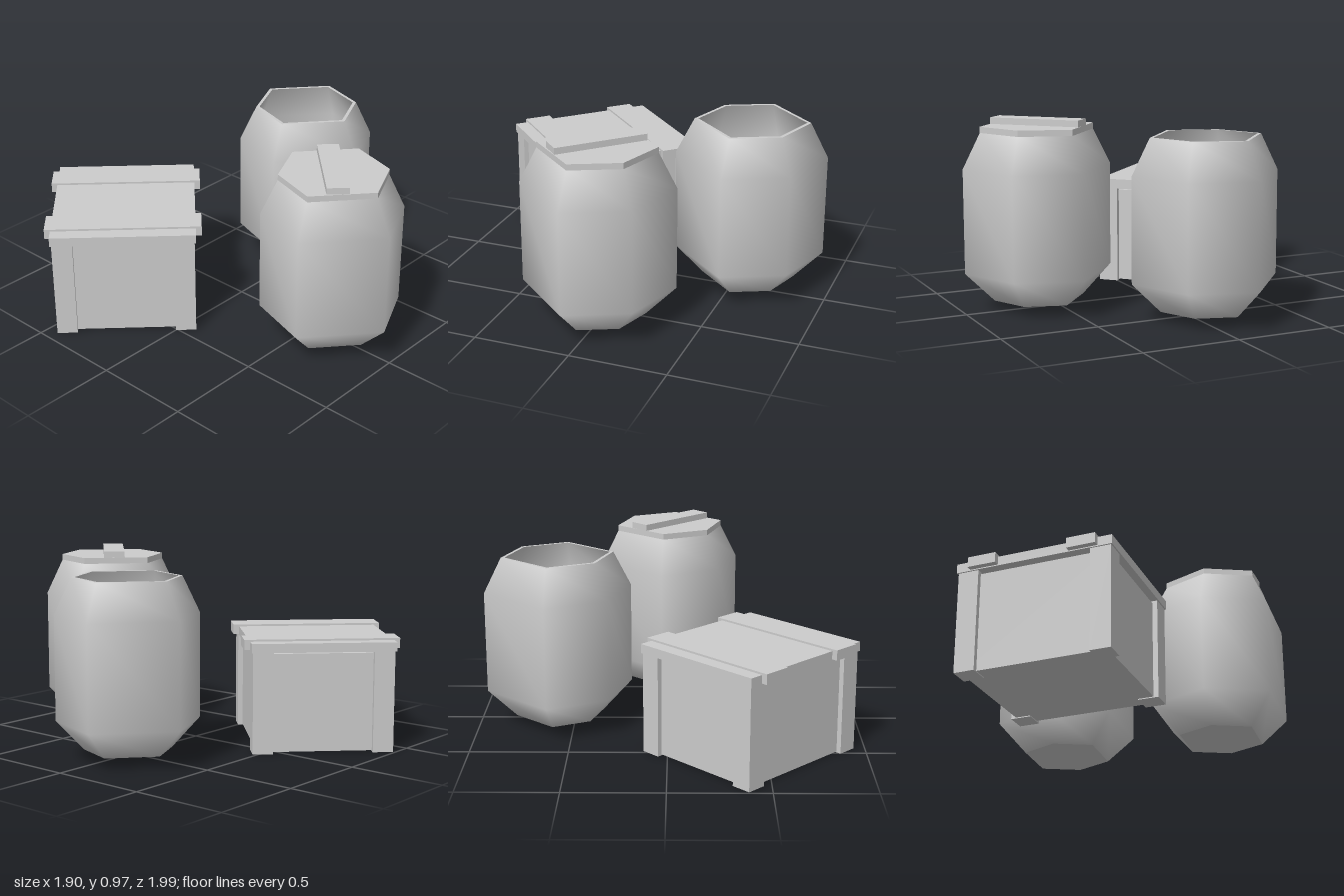
import * as THREE from 'three';

const grey = new THREE.MeshStandardMaterial({ color: 0xcccccc });
grey.name = 'plain grey';

// Half of the six-sided barrel outline (x, z); the other half is its point reflection
const half = [[0.042, -0.382], [0.375, -0.093], [0.27, 0.238]];
const outline = [...half, ...half.map(([x, z]) => [-x, -z])];

function add(parent, name, geometry) {
  const mesh = new THREE.Mesh(geometry, grey);
  mesh.name = name;
  parent.add(mesh);
  return mesh;
}

function box(parent, name, size, position) {
  const mesh = add(parent, name, new THREE.BoxGeometry(...size));
  mesh.position.set(...position);
  return mesh;
}

// Skins the barrel outline through rings given as [scale, y]
function loft(rings, flat = false) {
  const n = outline.length, positions = [], index = [];
  rings.forEach(([s, y]) => outline.forEach(([x, z]) => positions.push(x * s, y, z * s)));
  for (let r = 0; r < rings.length - 1; r++) {
    for (let i = 0; i < n; i++) {
      const j = (i + 1) % n, a = r * n + i, b = r * n + j;
      if (rings[r + 1][0] > 0) index.push(a, a + n, b + n);
      if (rings[r][0] > 0) index.push(a, b + n, b);
    }
  }
  let geometry = new THREE.BufferGeometry();
  geometry.setAttribute('position', new THREE.Float32BufferAttribute(positions, 3));
  geometry.setIndex(index);
  if (flat) geometry = geometry.toNonIndexed();
  geometry.computeVertexNormals();
  return geometry;
}

function makeBarrel(name, x, z) {
  const barrel = new THREE.Group();
  barrel.name = name;
  add(barrel, 'barrelBase', loft([[0, 0.05], [0.61, 0.05]]));
  add(barrel, 'barrelWall', loft([[0.61, 0.05], [1, 0.2], [1, 0.73], [0.76, 0.913]]));
  add(barrel, 'barrelRim', loft([[0.76, 0.913], [0.71, 0.913]]));
  add(barrel, 'barrelInside', loft([[0.71, 0.913], [0.92, 0.72], [0.92, 0.22], [0.56, 0.09], [0, 0.09]]));
  barrel.position.set(x, 0, z);
  return barrel;
}

function makeCrate() {
  const crate = new THREE.Group();
  crate.name = 'crate';
  const a = 0.36, b = 0.393, post = 0.105, inset = 0.026;
  // body panels, set back from the corner posts
  box(crate, 'crateBody', [2 * (a - inset), 0.505, 2 * (b - inset)], [0, 0.2575, 0]);
  for (const sx of [-1, 1]) {
    for (const sz of [-1, 1]) {
      box(crate, 'cornerPost', [post, 0.52, post], [sx * (a - post / 2), 0.26, sz * (b - post / 2)]);
    }
  }
  // lid with two cross straps that stick out at both ends
  box(crate, 'crateLid', [0.735, 0.047, 0.8], [0, 0.5435, 0]);
  for (const s of [-1, 1]) {
    box(crate, 'lidStrap', [0.795, 0.052, 0.145], [0, 0.551, s * 0.255]);
  }
  crate.position.set(-0.411, 0, -0.457);
  crate.rotation.y = -Math.PI / 4;
  return crate;
}

export function createModel() {
  const model = new THREE.Group();
  model.name = 'barrelsAndCrate';
  model.add(makeBarrel('openBarrel', 0.573, -0.048));

  // closed barrel with a six-sided lid and a diagonal handle plank
  const closed = makeBarrel('closedBarrel', -0.002, 0.607);
  add(closed, 'barrelLid', loft([[0.765, 0.908], [0.765, 0.94], [0, 0.94]], true));
  const plank = box(closed, 'lidPlank', [0.478, 0.034, 0.11], [-0.003, 0.956, -0.006]);
  plank.rotation.y = Math.PI / 4;
  model.add(closed);

  model.add(makeCrate());
  return model;
}
